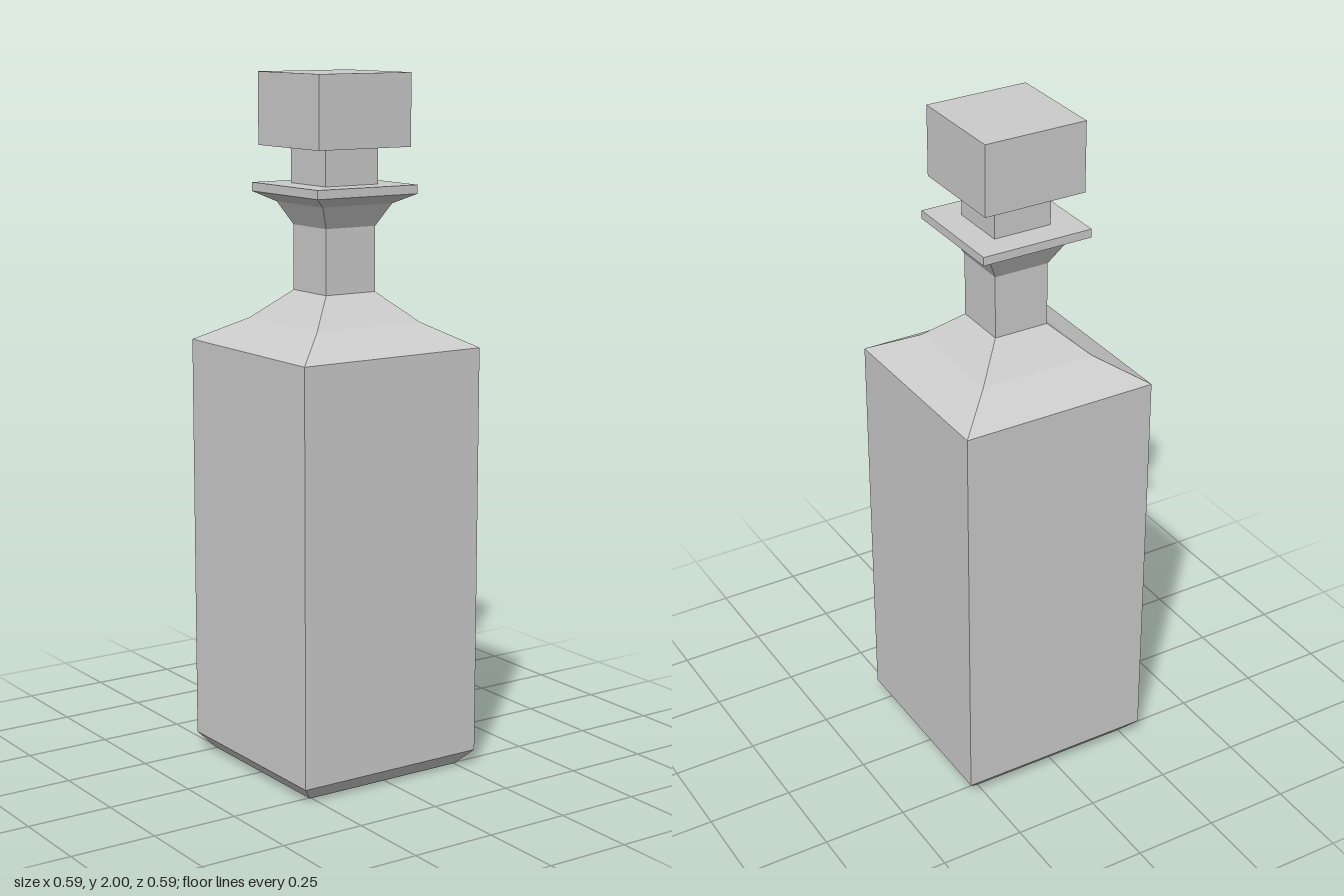
import * as THREE from 'three';

const material = new THREE.MeshStandardMaterial({ color: 0xcccccc, flatShading: true });

// Square-section solid from a [half width, height] profile, listed bottom to top
function squareLathe(name, profile) {
  const points = profile.map(([half, y]) => new THREE.Vector2(half * Math.SQRT2, y));
  const geometry = new THREE.LatheGeometry(points, 4, Math.PI / 4).toNonIndexed();
  geometry.computeVertexNormals();
  const mesh = new THREE.Mesh(geometry, material);
  mesh.name = name;
  return mesh;
}

export function createModel() {
  const model = new THREE.Group();
  model.name = 'decanter';

  // Bottle: chamfered base, straight body, two-slope shoulder, neck and flared lip
  model.add(squareLathe('bottle', [
    [0, 0], [0.255, 0], [0.295, 0.045],
    [0.295, 1.235], [0.175, 1.303], [0.083, 1.387],
    [0.083, 1.573], [0.117, 1.637],
    [0.168, 1.665], [0.168, 1.69], [0, 1.69],
  ]));

  // Stopper: narrow plug standing in the lip, with a block-shaped head
  const stopper = new THREE.Group();
  stopper.name = 'stopper';
  stopper.add(squareLathe('stopperPlug', [[0.088, 1.69], [0.088, 1.795]]));
  stopper.add(squareLathe('stopperHead', [[0, 1.795], [0.154, 1.795], [0.154, 2], [0, 2]]));
  model.add(stopper);

  return model;
}
